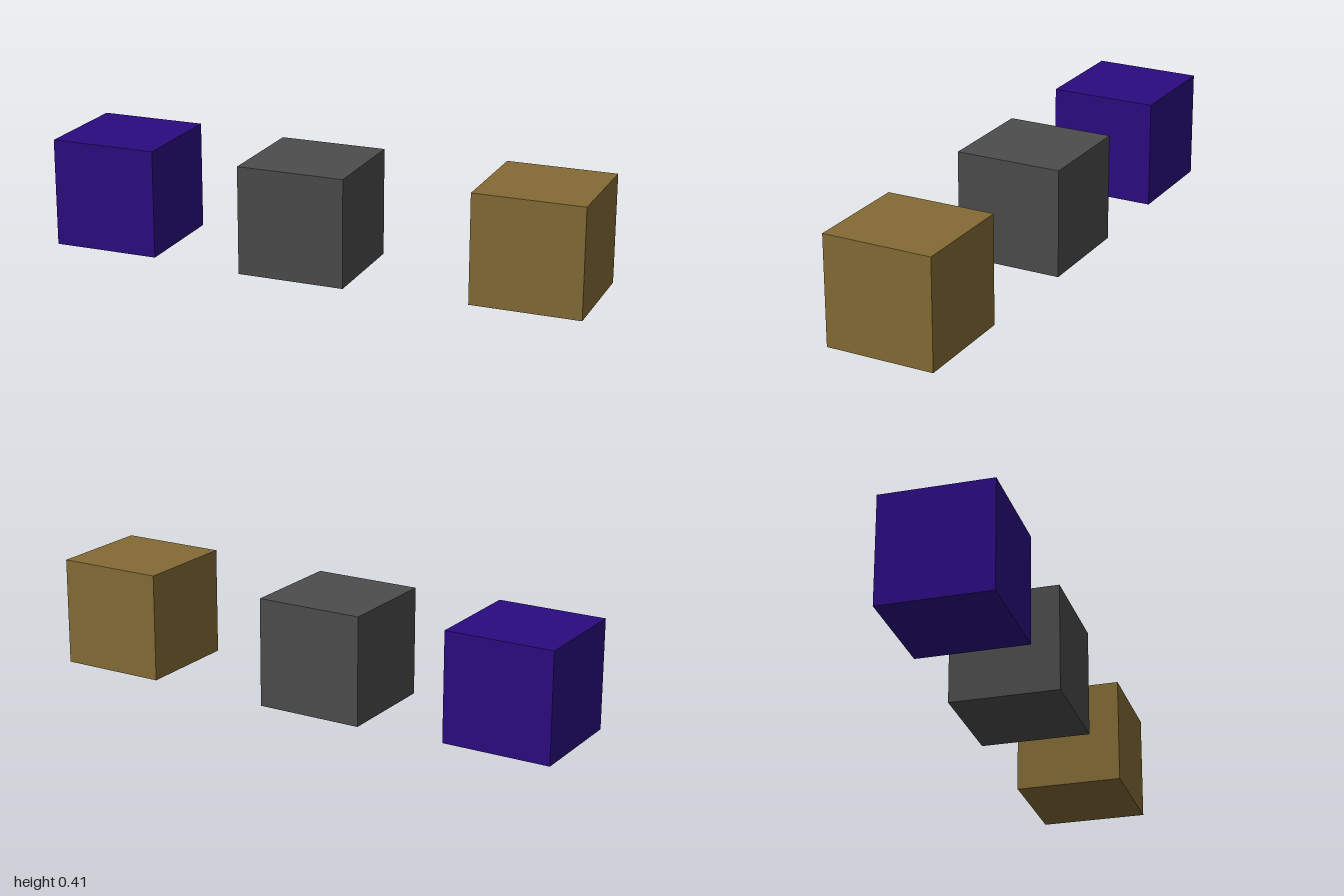
import * as THREE from 'three';

const SIZE = 0.4;

// One cube per entry: centre x, underside y, centre z
const CUBES = [
  { name: 'purpleCube', color: 0x2b0b80, x: -0.8, y: 0.013, z: -0.004 },
  { name: 'greyCube', color: 0x4c4c4c, x: -0.062, y: 0, z: 0.004 },
  { name: 'goldCube', color: 0x836b35, x: 0.8, y: 0.009, z: 0.004 },
];

export function createModel() {
  const model = new THREE.Group();
  model.name = 'cubeRow';
  const geometry = new THREE.BoxGeometry(SIZE, SIZE, SIZE);

  for (const { name, color, x, y, z } of CUBES) {
    const cube = new THREE.Mesh(geometry, new THREE.MeshStandardMaterial({ color }));
    cube.name = name;
    cube.position.set(x, y + SIZE / 2, z);
    model.add(cube);
  }
  return model;
}
